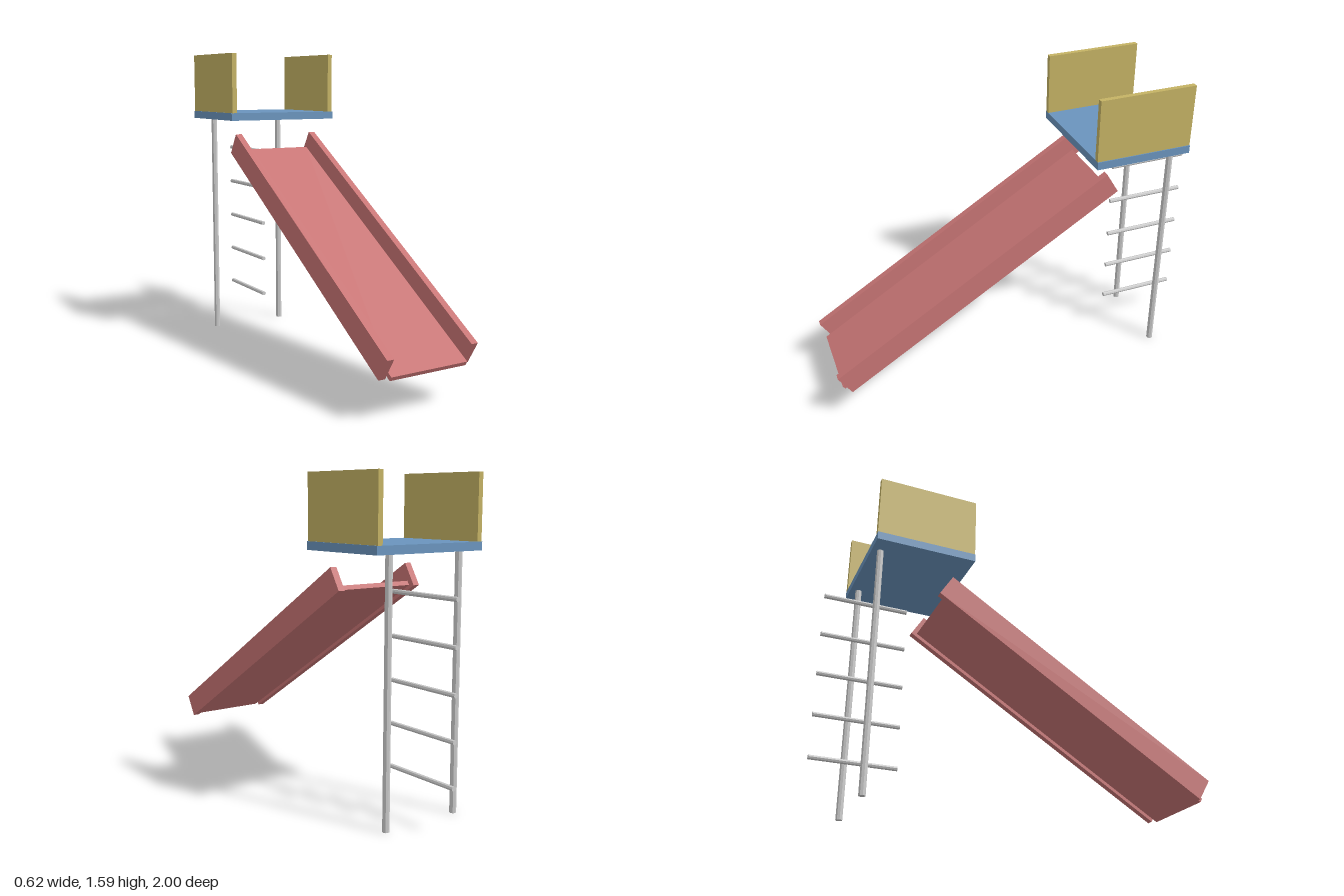
import * as THREE from 'three';

const paint = (color) => new THREE.MeshStandardMaterial({ color, flatShading: true });

export function createModel() {
  const model = new THREE.Group();
  const red = paint(0xc87575), blue = paint(0x6a94bd), yellow = paint(0xc4b264), grey = paint(0xcccccc);

  const add = (parent, name, geometry, material, x, y, z) => {
    const mesh = new THREE.Mesh(geometry, material);
    mesh.name = name;
    mesh.position.set(x, y, z);
    parent.add(mesh);
    return mesh;
  };
  const box = (w, h, d) => new THREE.BoxGeometry(w, h, d);

  // Platform deck
  add(model, 'platform', box(0.624, 0.04, 0.5), blue, 0, 1.258, -0.583);

  // Sloping slide: bed between two side rails
  const slide = new THREE.Group();
  slide.name = 'slide';
  slide.position.set(0, 0.674, 0.256);
  slide.rotation.x = 0.548;
  model.add(slide);
  add(slide, 'slideBed', box(0.415, 0.023, 1.668), red, 0, -0.035, 0.025);

  for (const [side, s] of [['left', 1], ['right', -1]]) {
    add(slide, side + 'SlideRail', box(0.035, 0.123, 1.668), red, s * 0.2285, 0, 0);
    add(model, side + 'GuardWall', box(0.026, 0.314, 0.5), yellow, s * 0.294, 1.435, -0.583);
    add(model, side + 'LadderPost', new THREE.CylinderGeometry(0.0165, 0.0165, 1.24, 8), grey,
      s * 0.208, 0.62, -0.79);
  }

  // Ladder rungs, running front to back midway between the posts
  const rungShape = new THREE.CylinderGeometry(0.0115, 0.0115, 0.416, 8).rotateX(Math.PI / 2);
  for (let i = 0; i < 5; i++) {
    add(model, 'ladderRung' + (i + 1), rungShape, grey, 0, 0.215 + i * 0.2085, -0.791);
  }
  return model;
}
